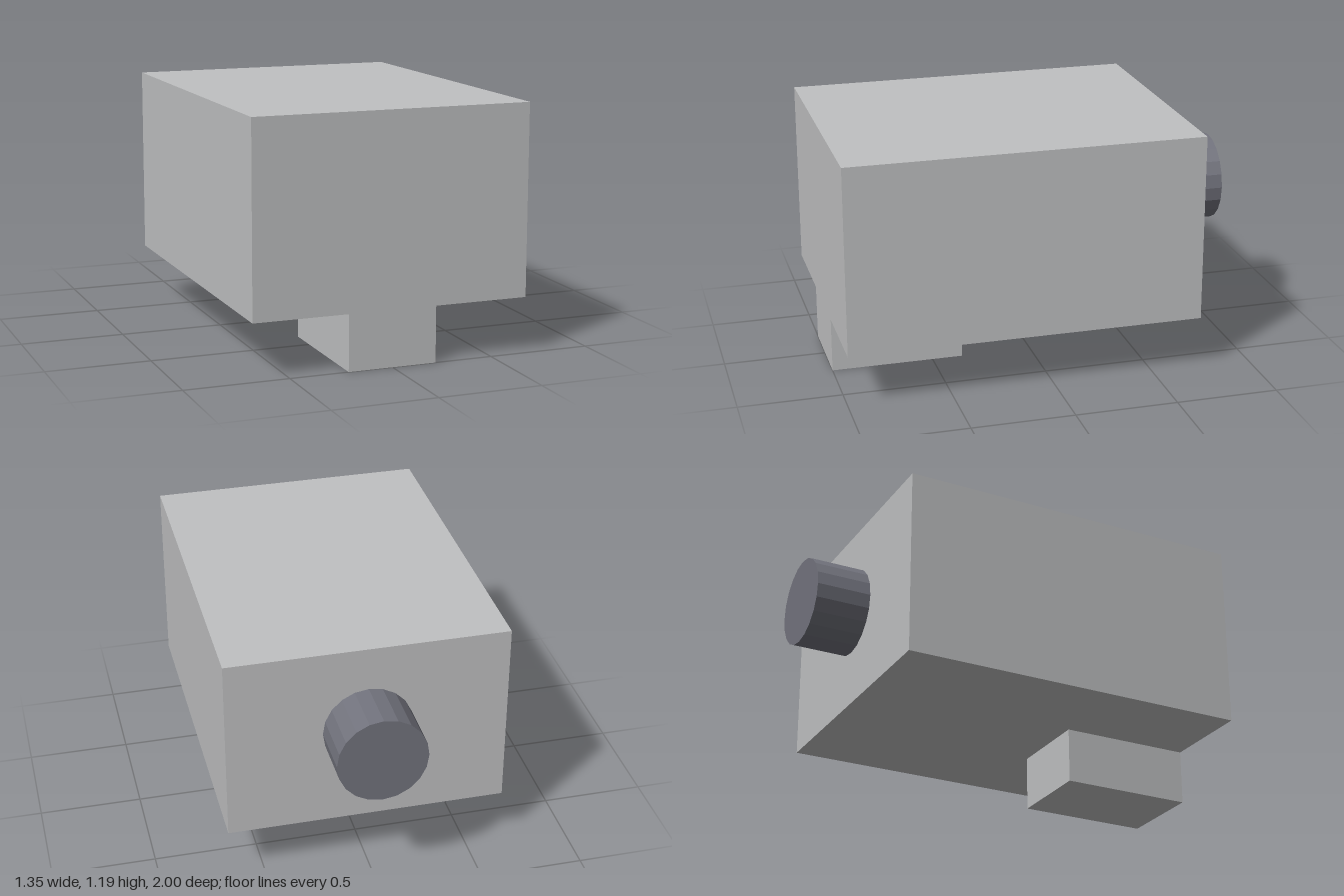
import * as THREE from 'three';

export function createModel() {
  const group = new THREE.Group();
  const lightGrey = new THREE.MeshStandardMaterial({ color: 0xbfc0c1 });
  lightGrey.name = 'light grey';
  const darkGrey = new THREE.MeshStandardMaterial({ color: 0x72737d, flatShading: true });
  darkGrey.name = 'dark grey';

  function add(name, geometry, material, x, y, z) {
    const mesh = new THREE.Mesh(geometry, material);
    mesh.name = name;
    mesh.position.set(x, y, z);
    group.add(mesh);
  }

  // Main housing
  add('body', new THREE.BoxGeometry(1.35, 0.919, 1.73), lightGrey, 0, 0.7295, 0.135);

  // Block under the front edge, flush with the front face
  add('foot', new THREE.BoxGeometry(0.432, 0.27, 0.65), lightGrey, 0, 0.135, 0.675);

  // Round stub on the back, slightly above the middle
  const stub = new THREE.CylinderGeometry(0.216, 0.216, 0.27, 20).rotateX(Math.PI / 2);
  add('rearStub', stub, darkGrey, 0, 0.76, -0.865);

  return group;
}
